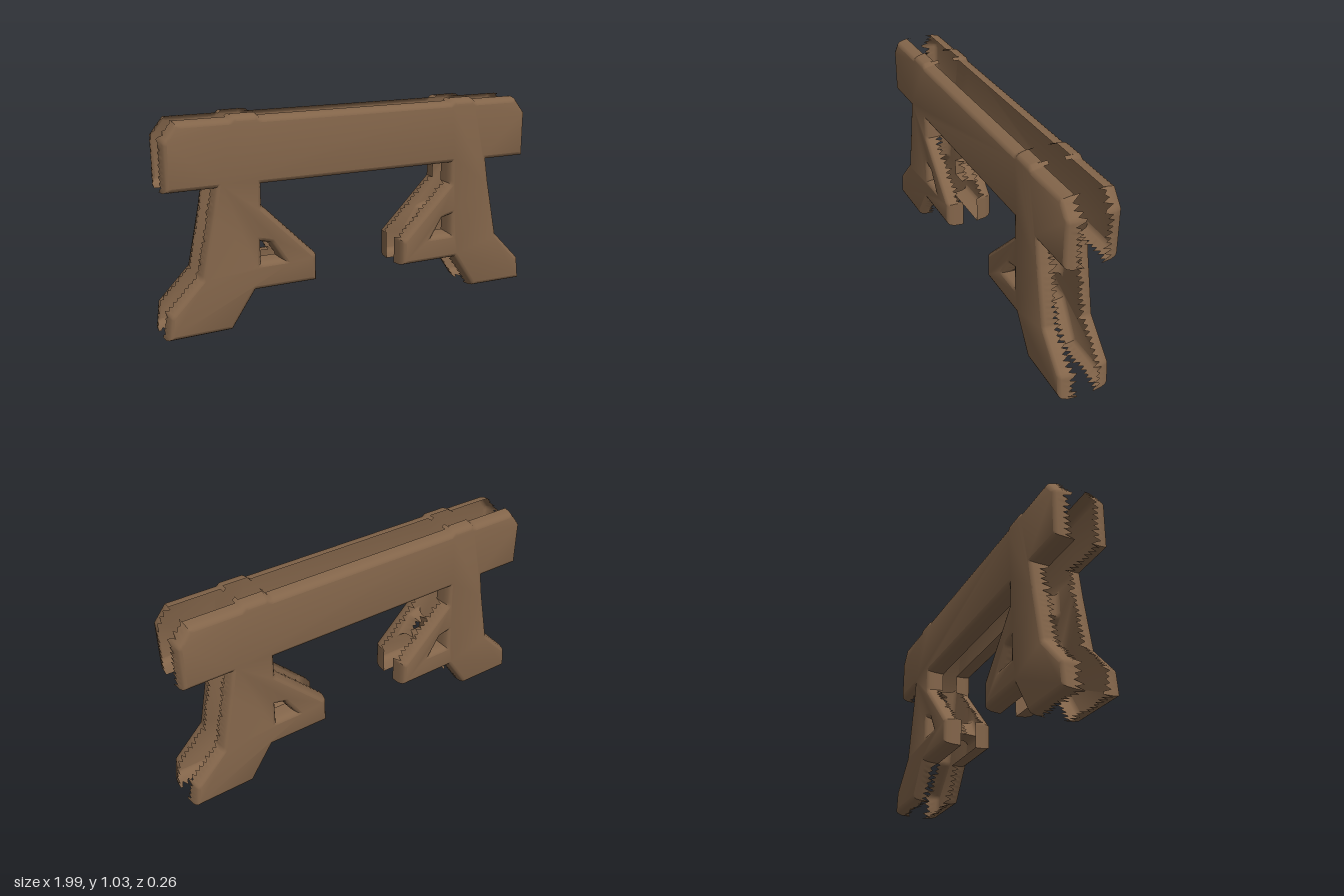
import * as THREE from 'three';
import { mergeGeometries, toCreasedNormals } from 'three/addons/utils/BufferGeometryUtils.js';

// small seeded generator for the ragged rim
let seed = 7;
const rand = () => (seed = (seed * 16807) % 2147483647) / 2147483647;

// right half of the outline, from the bar's top down around the leg
const half = [
  [0.51, 1.022], [0.525, 1.035], [0.645, 1.035], [0.66, 1.022], [0.91, 1.022], [0.975, 0.94], [0.975, 0.7],
  [0.745, 0.7], [0.765, 0.58], [0.825, 0.29], [0.98, 0.13], [0.995, 0.0], [0.675, 0.005],
  [0.555, 0.185], [0.235, 0.185], [0.235, 0.325], [0.51, 0.6], [0.51, 0.7],
];
const mirror = pts => pts.map(([x, y]) => [-x, y]).reverse();
const toVectors = pts => pts.map(([x, y]) => new THREE.Vector2(x, y));

// outline runs anticlockwise, holes run clockwise
const outline = toVectors([...half, ...mirror(half)].reverse());
const holeRight = [[0.52, 0.33], [0.43, 0.33], [0.48, 0.41], [0.52, 0.42]];
const holes = [toVectors(holeRight), toVectors(mirror(holeRight))];

// shell cross-section: [z, inset into the material]
const profile = [[0.128, 0.027], [0.124, 0.016], [0.114, 0.009], [0.09, 0.003]];

// move a closed loop into the material with mitred corners
function inset(loop, d) {
  const n = loop.length;
  return loop.map((p, i) => {
    const a = p.clone().sub(loop[(i + n - 1) % n]).normalize();
    const b = loop[(i + 1) % n].clone().sub(p).normalize();
    const m = new THREE.Vector2(-a.y - b.y, a.x + b.x);
    return p.clone().addScaledVector(m, d / (1 + a.dot(b)));
  });
}

// depth of the rim: clean on straight edges, toothed on sloping and outer ones
function rimDepth(a, b, k, steps) {
  const straight = Math.abs(a.x - b.x) < 0.01 || Math.abs(a.y - b.y) < 0.01;
  const outer = Math.abs(a.x) > 0.9 || a.y < 0.05;
  if (straight && a.y > 1) return 0.067;
  if ((straight && !outer) || k === 0 || k === steps) return 0.04;
  return k % 2 ? 0.075 + 0.012 * rand() : 0.04 + 0.022 * rand();
}

// curved side wall following a loop
function wall(loop) {
  const rings = profile.map(([, d]) => inset(loop, d));
  const positions = [];
  loop.forEach((a, i) => {
    const j = (i + 1) % loop.length, b = loop[j];
    const steps = Math.max(1, Math.round(a.distanceTo(b) / 0.014));
    const columns = [];
    for (let k = 0; k <= steps; k++) {
      const t = k / steps;
      const column = rings.map((ring, r) => {
        const p = ring[i].clone().lerp(ring[j], t);
        return [p.x, p.y, profile[r][0]];
      });
      const p = a.clone().lerp(b, t);
      column.push([p.x, p.y, rimDepth(a, b, k, steps)]);
      columns.push(column);
    }
    for (let k = 0; k < steps; k++) {
      const c = columns[k], d = columns[k + 1];
      for (let r = 0; r < profile.length; r++) {
        positions.push(...c[r + 1], ...d[r + 1], ...d[r], ...c[r + 1], ...d[r], ...c[r]);
      }
    }
  });
  const geometry = new THREE.BufferGeometry();
  geometry.setAttribute('position', new THREE.Float32BufferAttribute(positions, 3));
  return geometry;
}

// flat outer face with the two triangular holes
function face() {
  const [z, d] = profile[0];
  const shape = new THREE.Shape(inset(outline, d));
  shape.holes = holes.map(h => new THREE.Path(inset(h, d)));
  const geometry = new THREE.ShapeGeometry(shape).toNonIndexed().translate(0, 0, z);
  geometry.deleteAttribute('uv');
  geometry.deleteAttribute('normal');
  return geometry;
}

export function createModel() {
  const model = new THREE.Group();
  model.name = 'trestleFrame';
  const brown = new THREE.MeshStandardMaterial({ color: 0x83654a, side: THREE.DoubleSide });
  brown.name = 'woodBrown';

  const shell = toCreasedNormals(mergeGeometries([face(), ...[outline, ...holes].map(wall)]), 0.75);

  // the two open halves face away from each other
  [['frontShell', 0], ['backShell', Math.PI]].forEach(([name, turn]) => {
    const mesh = new THREE.Mesh(shell, brown);
    mesh.name = name;
    mesh.rotation.y = turn;
    model.add(mesh);
  });
  return model;
}
